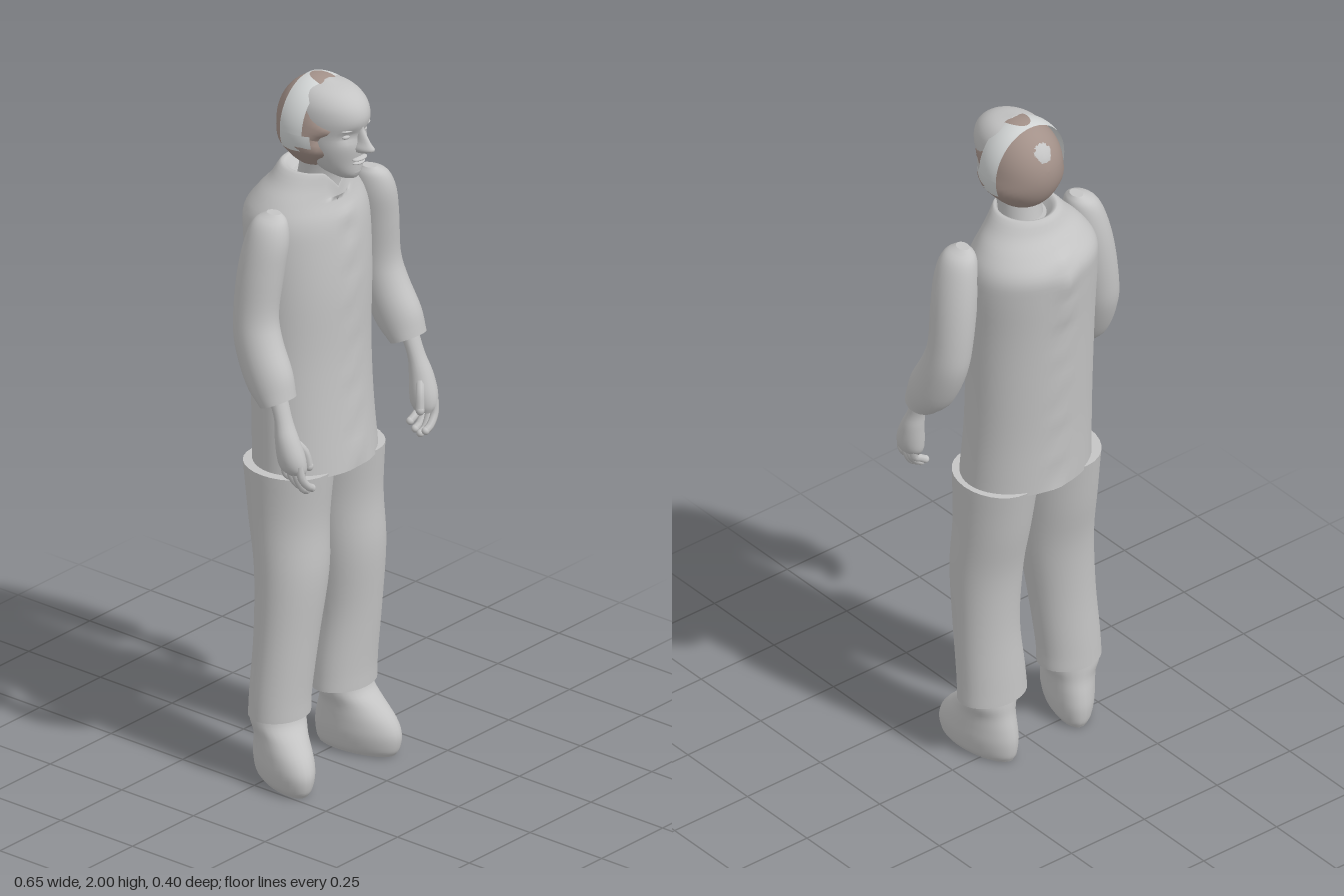
import * as THREE from 'three';

const mat = (name, color, side = THREE.FrontSide) => {
  const m = new THREE.MeshStandardMaterial({ color, side });
  m.name = name;
  return m;
};

// Smooth closed loft through rings [x, y, z, rx, rz, tilt]; tilt raises the front of a ring.
function loft(rings, { seg = 28, steps = 4, caps = [true, true], tweak } = {}) {
  const centre = new THREE.CatmullRomCurve3(rings.map(r => new THREE.Vector3(r[0], r[1], r[2])), false, 'catmullrom', 0.5);
  const size = new THREE.CatmullRomCurve3(rings.map(r => new THREE.Vector3(r[3], r[4], r[5] || 0)), false, 'catmullrom', 0.5);
  const rows = (rings.length - 1) * steps;
  const pos = [], idx = [];
  for (let i = 0; i <= rows; i++) {
    const c = centre.getPoint(i / rows), s = size.getPoint(i / rows);
    for (let j = 0; j < seg; j++) {
      const a = (j / seg) * Math.PI * 2;
      const dz = Math.cos(a) * s.y;
      const p = new THREE.Vector3(c.x + Math.sin(a) * s.x, c.y + dz * s.z, c.z + dz);
      if (tweak) tweak(p, i / rows);
      pos.push(p.x, p.y, p.z);
    }
  }
  for (let i = 0; i < rows; i++) for (let j = 0; j < seg; j++) {
    const k = (j + 1) % seg, a = i * seg + j, b = i * seg + k;
    idx.push(a, b, b + seg, a, b + seg, a + seg);
  }
  // Flat end caps on their own copies of the end rings
  [0, rows].forEach((row, e) => {
    if (!caps[e]) return;
    const start = pos.length / 3, mid = [0, 0, 0];
    for (let j = 0; j < seg; j++) for (let k = 0; k < 3; k++) {
      const v = pos[(row * seg + j) * 3 + k];
      pos.push(v);
      mid[k] += v / seg;
    }
    pos.push(...mid);
    for (let j = 0; j < seg; j++) {
      const a = start + j, b = start + (j + 1) % seg;
      idx.push(start + seg, e ? a : b, e ? b : a);
    }
  });
  const g = new THREE.BufferGeometry();
  g.setAttribute('position', new THREE.Float32BufferAttribute(pos, 3));
  g.setIndex(idx);
  // Rings listed from top to bottom need their faces turned
  if (rings[0][1] > rings[rings.length - 1][1]) {
    for (let i = 0; i < idx.length; i += 3) [idx[i + 1], idx[i + 2]] = [idx[i + 2], idx[i + 1]];
    g.setIndex(idx);
  }
  g.computeVertexNormals();
  return g;
}

export function createModel() {
  const model = new THREE.Group();
  model.name = 'standingFigure';
  const grey = mat('plain grey', 0xc4c4c4);
  const hairBrown = mat('hair brown', 0xa39189, THREE.DoubleSide);
  const pale = mat('pale grey', 0xd2d5d5, THREE.DoubleSide);
  const add = (name, geo, material = grey, parent = model) => {
    const m = new THREE.Mesh(geo, material);
    m.name = name;
    parent.add(m);
    return m;
  };
  const ball = (name, x, y, z, rx, ry, rz, parent) => {
    const m = add(name, new THREE.SphereGeometry(1, 16, 12), grey, parent);
    m.position.set(x, y, z);
    m.scale.set(rx, ry, rz);
    return m;
  };

  // Jacket: long and straight, sloping shoulders, notched collar
  add('jacket', loft([
    [0, 0.89, 0, 0.193, 0.148], [0, 1.05, -0.01, 0.188, 0.142], [0.003, 1.22, -0.02, 0.187, 0.143],
    [0.006, 1.4, -0.026, 0.19, 0.15], [0.01, 1.54, -0.037, 0.193, 0.152], [0.01, 1.61, -0.043, 0.186, 0.148],
    [0.01, 1.66, -0.036, 0.158, 0.122], [0.01, 1.7, -0.024, 0.122, 0.1], [0.01, 1.74, -0.014, 0.084, 0.086],
    [0.01, 1.71, 0, 0.062, 0.068],
  ], {
    seg: 48, tweak: (p, t) => {
      const x = p.x - 0.01, ridge = Math.exp(-((x / 0.025) ** 2));
      if (p.y > 1.68 && p.z > 0) p.y -= 0.05 * Math.max(0, 1 - Math.abs(x) / 0.045);
      else if (t < 0.6) p.z += 0.004 * ridge * Math.sin(p.y * 55);
      if (p.z < -0.12 && p.y > 1.45 && p.y < 1.66) p.z -= 0.008 * ridge;
    },
  }));

  // Trouser legs, shoes turned outwards
  const legs = [
    ['right', [[-0.108, 0.9, 0, 0.112, 0.13], [-0.113, 0.75, 0.005, 0.108, 0.11], [-0.122, 0.6, 0.022, 0.106, 0.097],
      [-0.14, 0.42, 0.02, 0.097, 0.083], [-0.155, 0.26, 0.012, 0.093, 0.078], [-0.158, 0.19, 0.01, 0.093, 0.078]], -0.4, -0.165],
    ['left', [[0.103, 0.9, 0, 0.106, 0.13], [0.11, 0.75, 0.005, 0.102, 0.11], [0.115, 0.6, 0.022, 0.1, 0.097],
      [0.118, 0.42, 0.02, 0.094, 0.083], [0.109, 0.26, 0.012, 0.1, 0.078], [0.106, 0.19, 0.01, 0.103, 0.078]], 0.15, 0.11],
  ];
  for (const [side, rings, yaw, ankle] of legs) {
    add(side + 'TrouserLeg', loft(rings));
    const shoe = add(side + 'Shoe', loft([
      [0, 0, 0.045, 0.046, 0.115], [0, 0.02, 0.047, 0.058, 0.126], [0, 0.06, 0.048, 0.066, 0.13],
      [0, 0.1, 0.042, 0.067, 0.118], [0, 0.14, 0.028, 0.068, 0.094], [0, 0.175, 0.012, 0.076, 0.074], [0, 0.21, 0.008, 0.075, 0.066],
    ]));
    shoe.position.set(ankle, 0, 0.004);
    shoe.rotation.y = yaw;
  }

  // Sleeves and hands, mirrored about the body
  for (const s of [-1, 1]) {
    const side = s < 0 ? 'right' : 'left';
    const X = x => 0.005 + s * x;
    add(side + 'Sleeve', loft([
      [X(0.195), 1.668, 0.018, 0.016, 0.022], [X(0.208), 1.645, 0.016, 0.042, 0.05], [X(0.22), 1.59, 0.014, 0.056, 0.064],
      [X(0.236), 1.5, 0.006, 0.06, 0.066], [X(0.25), 1.39, 0.002, 0.059, 0.063], [X(0.258), 1.31, 0.018, 0.06, 0.068, 0.15],
      [X(0.264), 1.22, 0.06, 0.06, 0.064, 0.4], [X(0.267), 1.16, 0.094, 0.054, 0.044, 0.45],
    ], { seg: 24 }));

    const hand = new THREE.Group();
    hand.name = side + 'Hand';
    model.add(hand);
    add(side + 'Palm', loft([
      [X(0.268), 1.2, 0.085, 0.028, 0.026], [X(0.272), 1.12, 0.115, 0.026, 0.023], [X(0.275), 1.07, 0.13, 0.032, 0.032],
      [X(0.272), 1.02, 0.142, 0.036, 0.04], [X(0.268), 0.985, 0.147, 0.032, 0.04], [X(0.262), 0.965, 0.15, 0.02, 0.03],
    ], { seg: 18 }), grey, hand);
    // Four curled fingers, then the thumb
    for (let f = 0; f < 4; f++) {
      const z = 0.122 + f * 0.018, drop = [0.025, 0.008, 0, 0.012][f];
      const path = new THREE.CatmullRomCurve3([[0.278, 1.0, z], [0.272, 0.96, z + 0.005], [0.25, 0.92 + drop, z + 0.008], [0.234, 0.91 + drop, z + 0.006]]
        .map(([x, y, w]) => new THREE.Vector3(X(x), y, w)));
      add(side + 'Finger', new THREE.TubeGeometry(path, 10, 0.011, 8), grey, hand);
      ball(side + 'Fingertip', X(0.234), 0.91 + drop, z + 0.006, 0.011, 0.011, 0.011, hand);
    }
    const thumb = new THREE.CatmullRomCurve3([[0.262, 1.06, 0.14], [0.238, 1.025, 0.16], [0.228, 0.98, 0.168]]
      .map(([x, y, z]) => new THREE.Vector3(X(x), y, z)));
    add(side + 'Thumb', new THREE.TubeGeometry(thumb, 8, 0.012, 8), grey, hand);
    ball(side + 'ThumbTip', X(0.228), 0.98, 0.168, 0.012, 0.014, 0.012, hand);
  }

  // Head and neck
  const cx = 0.01;
  add('neck', loft([[cx, 1.66, 0, 0.062, 0.066], [cx, 1.73, 0.012, 0.058, 0.062], [cx, 1.8, 0.03, 0.06, 0.07]]));
  add('head', loft([
    [cx, 1.735, 0.098, 0.026, 0.036], [cx, 1.752, 0.075, 0.047, 0.068], [cx, 1.785, 0.054, 0.068, 0.092],
    [cx, 1.825, 0.04, 0.082, 0.112], [cx, 1.865, 0.03, 0.089, 0.122], [cx, 1.91, 0.03, 0.092, 0.134],
    [cx, 1.95, 0.032, 0.084, 0.118], [cx, 1.98, 0.03, 0.058, 0.078], [cx, 1.995, 0.026, 0.01, 0.012],
  ], {
    seg: 40, tweak: p => {
      // Shallow eye sockets
      if (p.z < 0.08) return;
      for (const e of [-1, 1]) p.z -= 0.012 * Math.exp(-(((p.x - cx - e * 0.035) / 0.018) ** 2) - ((p.y - 1.865) / 0.014) ** 2);
    },
  }));
  add('nose', loft([
    [cx, 1.818, 0.148, 0.016, 0.026], [cx, 1.83, 0.15, 0.019, 0.048], [cx, 1.85, 0.15, 0.012, 0.032],
    [cx, 1.88, 0.148, 0.009, 0.014], [cx, 1.9, 0.15, 0.008, 0.01],
  ], { seg: 16 }));
  ball('upperLip', cx, 1.796, 0.146, 0.027, 0.006, 0.015);
  ball('lowerLip', cx, 1.783, 0.141, 0.023, 0.006, 0.015);
  ball('chin', cx, 1.757, 0.128, 0.024, 0.017, 0.016);
  for (const e of [-1, 1]) {
    ball('eye', cx + e * 0.035, 1.864, 0.127, 0.014, 0.007, 0.011);
    ball('brow', cx + e * 0.037, 1.885, 0.134, 0.021, 0.005, 0.013).rotation.y = e * 0.35;
  }

  // Hair: a cap open towards the face, with a ragged edge
  const hair = new THREE.SphereGeometry(1, 48, 24, 0, Math.PI * 2, 0, 2.32);
  hair.rotateX(-Math.PI / 2 + 0.2);
  const hp = hair.attributes.position;
  for (let i = 0; i < hp.count; i++) {
    const x = hp.getX(i), y = hp.getY(i), z = hp.getZ(i), a = Math.atan2(y, x);
    const edge = Math.max(0, z - 0.3);
    const flare = 1 + 0.14 * Math.exp(-(((y + 0.35) / 0.25) ** 2)) * Math.abs(x);
    hp.setXYZ(i, cx + x * 0.108 * flare, 1.867 + y * 0.13, 0.006 + z * 0.118 + edge * 0.04 * Math.sin(a * 9));
  }
  hair.computeVertexNormals();
  add('hair', hair, hairBrown);

  // Pale band over the crown with short feet behind the ears, and a lock lying on it
  const shell = (name, k, phi0, phi, th0, th, material) => {
    const g = new THREE.SphereGeometry(1, 32, 8, phi0, phi, th0, th);
    g.rotateX(Math.PI / 2).rotateY(Math.PI);
    const p = g.attributes.position;
    for (let i = 0; i < p.count; i++) {
      p.setXYZ(i, cx + p.getX(i) * 0.122 * k, 1.867 + Math.abs(p.getY(i)) * Math.sign(p.getY(i)) * 0.1315 * k, p.getZ(i) * 0.121 * k);
    }
    g.computeVertexNormals();
    return add(name, g, material);
  };
  // Angles run round the front-to-back axis; the upper half lies where y is positive
  const probe = new THREE.SphereGeometry(1, 4, 2, Math.PI / 2, 0.01).rotateX(Math.PI / 2).rotateY(Math.PI);
  const up = probe.attributes.position.getY(5) > 0 ? Math.PI / 2 : -Math.PI / 2;
  shell('headBand', 1, up - Math.PI / 2, Math.PI, 1.3, 0.62, pale);
  for (const e of [-1, 1]) shell('bandFoot', 1, up + e * 1.77 - 0.2, 0.4, 1.3, 0.8, pale);

  const lock = new THREE.SphereGeometry(1, 24, 6, 0, Math.PI * 2, 0, Math.PI / 2);
  const lp = lock.attributes.position;
  for (let i = 0; i < lp.count; i++) {
    const x = lp.getX(i) * 0.032, z = 0.033 + lp.getZ(i) * 0.055;
    const y = 1.867 + 0.1325 * Math.sqrt(1 - (x / 0.123) ** 2 - (z / 0.128) ** 2);
    lp.setXYZ(i, cx + x, y, z);
  }
  lock.computeVertexNormals();
  add('crownLock', lock, hairBrown);
  return model;
}
